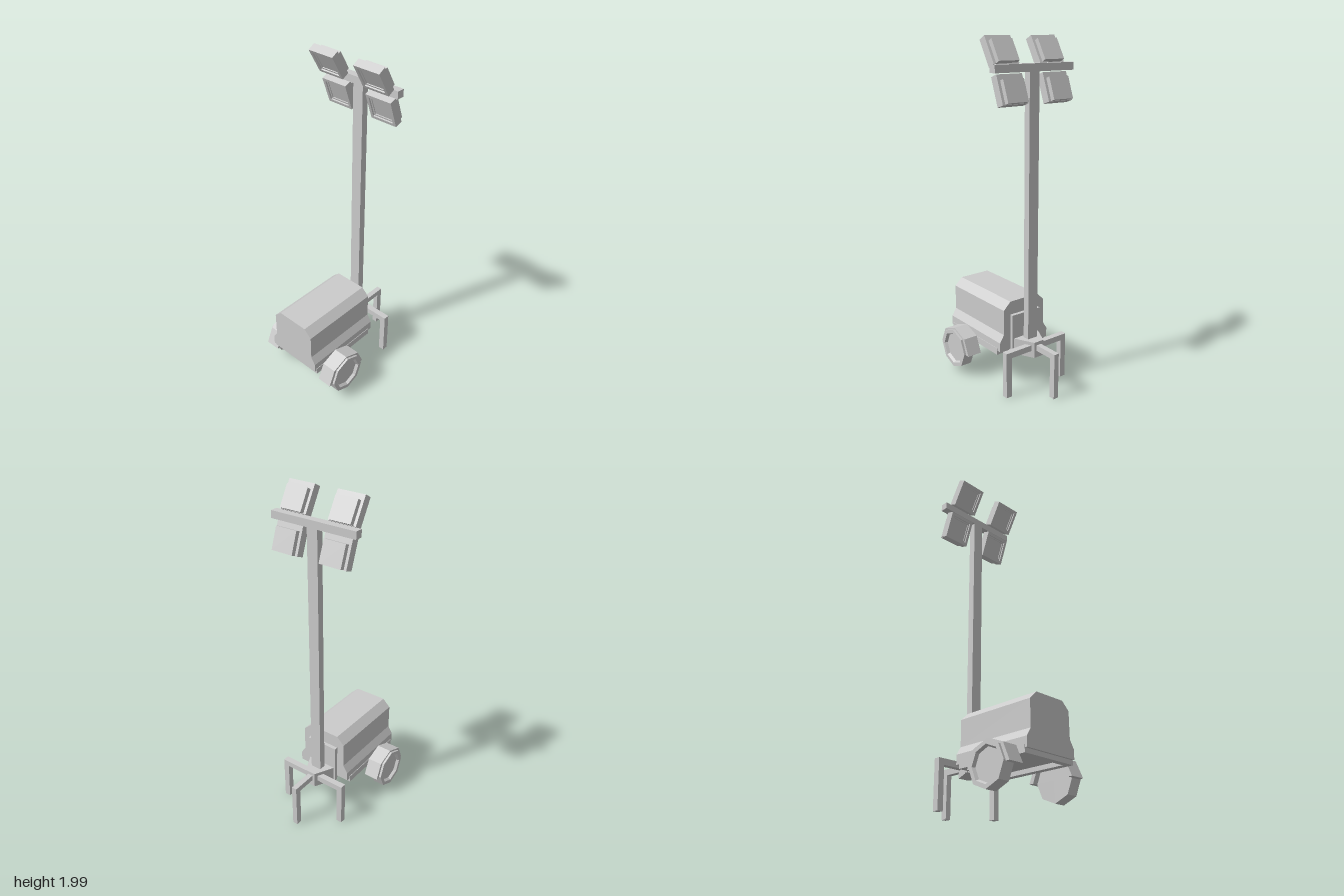
import * as THREE from 'three';

const mat = new THREE.MeshStandardMaterial({ color: 0xcccccc, flatShading: true });

function add(parent, name, geo, x = 0, y = 0, z = 0) {
  const m = new THREE.Mesh(geo, mat);
  m.name = name;
  m.position.set(x, y, z);
  parent.add(m);
  return m;
}

// Box given by its limits on each axis
function block(parent, name, [x0, x1], [y0, y1], [z0, z1]) {
  return add(parent, name, new THREE.BoxGeometry(x1 - x0, y1 - y0, z1 - z0),
    (x0 + x1) / 2, (y0 + y1) / 2, (z0 + z1) / 2);
}

const toShape = pts => new THREE.Shape(pts.map(p => new THREE.Vector2(...p)));
const rect = (w, h) => [[-w, -h], [w, -h], [w, h], [-w, h]];
const extrude = (shape, depth) => new THREE.ExtrudeGeometry(shape, { depth, bevelEnabled: false });

// Outline drawn in x and z, extruded downward from y = 0
const plate = (shape, depth) => extrude(shape, depth).rotateX(Math.PI / 2);

function ring(outer, inner) {
  const s = toShape(outer);
  s.holes.push(toShape(inner));
  return s;
}

// Floodlight: open frame, recessed lens and rear housing
function floodlight(x, y, z, tilt) {
  const g = new THREE.Group();
  g.name = 'floodlight';
  add(g, 'lampFrame', extrude(ring(rect(0.083, 0.08), rect(0.066, 0.063)), 0.047), 0, 0, -0.0235);
  block(g, 'lampLens', [-0.067, 0.067], [-0.064, 0.064], [-0.0235, 0.01]);
  add(g, 'lensTrim', extrude(ring(rect(0.066, 0.063), rect(0.057, 0.054)), 0.005), 0, 0, 0.01);
  block(g, 'lampHousing', [-0.067, 0.067], [-0.078, 0.048], [-0.05, -0.0235]);
  g.position.set(x, y, z);
  g.rotation.x = tilt;
  return g;
}

// Eight-sided wheel under a half-octagon fender
function wheelUnit(side) {
  const g = new THREE.Group();
  g.name = side > 0 ? 'leftWheel' : 'rightWheel';
  const profile = [[0, -0.035], [0.12, -0.035], [0.12, 0.035], [0.097, 0.035], [0.088, 0.018], [0, 0.018]];
  const tyre = add(g, 'wheel', new THREE.LatheGeometry(profile.map(p => new THREE.Vector2(...p)), 8),
    side * 0.248, 0.155, 0.226);
  tyre.rotation.z = -side * Math.PI / 2;
  const arc = [];
  for (let i = 0; i <= 4; i++) arc.push([0.145 * Math.cos(i * Math.PI / 4), 0.135 * Math.sin(i * Math.PI / 4)]);
  for (let i = 4; i >= 0; i--) arc.push([0.118 * Math.cos(i * Math.PI / 4), 0.118 * Math.sin(i * Math.PI / 4)]);
  const fender = extrude(toShape(arc), 0.09).rotateY(-Math.PI / 2);
  add(g, 'fender', fender, side > 0 ? 0.27 : -0.18, 0.15, 0.226);
  return g;
}

export function createModel() {
  const model = new THREE.Group();
  model.name = 'lightTower';

  // Generator canopy with chamfered roof and flared skirt
  const half = [[0.175, 0.225], [0.175, 0.28], [0.147, 0.325], [0.147, 0.475], [0.099, 0.52]];
  const outline = [...half, ...half.slice().reverse().map(([x, y]) => [-x, y])];
  add(model, 'canopy', extrude(toShape(outline), 0.5), 0, 0, -0.105);
  block(model, 'rearPanel', [-0.1, 0.1], [0.2, 0.44], [-0.127, -0.105]);

  // Chassis frame and tapered drawbar
  const frame = ring([[-0.178, -0.08], [0.178, -0.08], [0.178, 0.382], [-0.178, 0.382]],
    [[-0.14, -0.045], [0.14, -0.045], [0.14, 0.345], [-0.14, 0.345]]);
  add(model, 'chassisFrame', plate(frame, 0.04), 0, 0.24, 0);
  const taper = toShape([[-0.033, -0.243], [0.033, -0.243], [0.09, -0.127], [-0.09, -0.127]]);
  add(model, 'drawbar', plate(taper, 0.095), 0, 0.295, 0);
  block(model, 'drawbarRoot', [-0.09, 0.09], [0.2, 0.24], [-0.127, -0.08]);

  // Stabiliser legs
  block(model, 'rearLegArm', [-0.016, 0.016], [0.24, 0.275], [-0.397, -0.24]);
  block(model, 'rearLeg', [-0.016, 0.016], [0, 0.24], [-0.397, -0.36]);
  block(model, 'sideLegArm', [-0.22, 0.22], [0.24, 0.275], [-0.226, -0.19]);
  for (const s of [-1, 1]) {
    const leg = add(model, 'sideLeg', new THREE.BoxGeometry(0.036, 0.24, 0.036), s * 0.202, 0.12, -0.208);
    leg.name = s > 0 ? 'leftLeg' : 'rightLeg';
    model.add(wheelUnit(s));
  }

  // Mast, crossbar and lamps
  block(model, 'mast', [-0.033, 0.033], [0.29, 1.82], [-0.186, -0.145]);
  block(model, 'crossbar', [-0.27, 0.262], [1.81, 1.852], [-0.19, -0.145]);
  for (const x of [-0.153, 0.153]) {
    model.add(floodlight(x, 1.912, -0.086, Math.PI / 6));
    model.add(floodlight(x, 1.72, -0.172, Math.PI / 9));
  }
  return model;
}
